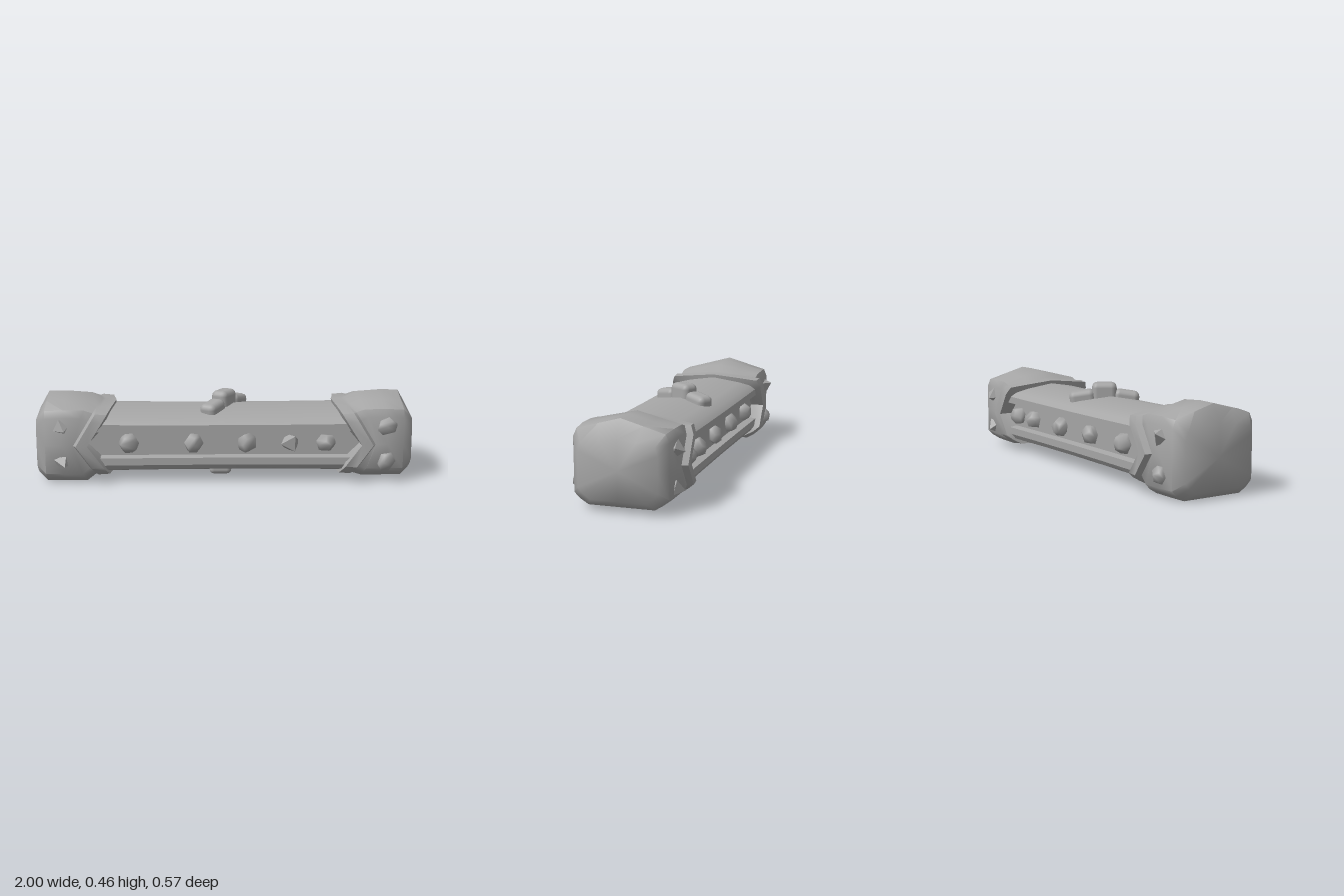
import * as THREE from 'three';
import { toCreasedNormals } from 'three/addons/utils/BufferGeometryUtils.js';
import { RoundedBoxGeometry } from 'three/addons/geometries/RoundedBoxGeometry.js';

const grey = new THREE.MeshStandardMaterial({ color: 0xa6a6a6 });
grey.name = 'stone grey';

// Skins a list of closed rings, ordered by rising x, and closes both ends
function loft(rings, crease) {
  const n = rings[0].length, pos = [];
  const tri = (...pts) => pts.forEach(p => pos.push(...p));
  for (let i = 0; i < rings.length - 1; i++) {
    for (let j = 0; j < n; j++) {
      const k = (j + 1) % n;
      tri(rings[i][j], rings[i][k], rings[i + 1][k]);
      tri(rings[i][j], rings[i + 1][k], rings[i + 1][j]);
    }
  }
  const middle = r => [0, 1, 2].map(a => r.reduce((s, p) => s + p[a], 0) / n);
  const first = rings[0], last = rings[rings.length - 1];
  const c0 = middle(first), c1 = middle(last);
  for (let j = 0; j < n; j++) {
    const k = (j + 1) % n;
    tri(c0, first[k], first[j]);
    tri(c1, last[j], last[k]);
  }
  const geo = new THREE.BufferGeometry();
  geo.setAttribute('position', new THREE.Float32BufferAttribute(pos, 3));
  return toCreasedNormals(geo, crease);
}

// Mirrors a half profile (from top centre to bottom centre) to the -z side
function fullRing(half) {
  const back = half.slice(1, -1).reverse().map(([x, y, z]) => [x, y, -z]);
  return [...half, ...back];
}

// Body section [z, y]: pitched top and a sunken channel in the side
const bodyProfile = [
  [0, 0.388], [0.15, 0.362], [0.215, 0.345], [0.243, 0.32], [0.243, 0.283], [0.2, 0.277],
  [0.2, 0.15], [0.243, 0.143], [0.243, 0.105], [0.225, 0.08], [0.18, 0.064], [0, 0.062],
];

// End cap: chevron-edged collar, side groove, then a swelling block
function capRings(side, base) {
  // [x, notch, peak, shoulder, half width, bottom]
  const sections = [
    [0.59, 1, 0.375, 0.34, 0.215, 0.075],
    [0.585, 1, 0.41, 0.38, 0.275, 0.043],
    [0.645, 1, 0.412, 0.385, 0.28, 0.04],
    [0.66, 1, 0.418, 0.385, 0.25, 0.04],
    [0.72, 0.6, 0.45, 0.4, 0.252, base],
    [0.85, 0.1, 0.46, 0.402, 0.249, base],
    [0.95, 0, 0.458, 0.395, 0.24, base],
    [1, 0, 0.368, 0.34, 0.2, base + 0.04],
  ];
  const rings = sections.map(([x, notch, t, s, w, b]) => {
    const p = (push, y, z) => [side * (x + notch * push), y, z];
    return fullRing([
      p(0, t, 0), p(0.02, (t + s) / 2, w * 0.47), p(0.035, s, w * 0.93),
      p(0.06, s - 0.04, w), p(0.14, 0.213, w), p(0.055, b + 0.055, w),
      p(0.04, b + 0.027, w * 0.88), p(0.03, b, w * 0.7), p(0, b, 0),
    ]);
  });
  return side > 0 ? rings : rings.reverse();
}

export function createModel() {
  const model = new THREE.Group();
  const add = (name, geo, position = [0, 0, 0], rotation = [0, 0, 0], scale = [1, 1, 1]) => {
    const mesh = new THREE.Mesh(geo, grey);
    mesh.name = name;
    mesh.position.set(...position);
    mesh.rotation.set(...rotation);
    mesh.scale.set(...scale);
    model.add(mesh);
  };

  // Beam, slightly waisted in the middle
  const bodyRings = [-0.8, -0.6, -0.35, 0, 0.35, 0.6, 0.8].map(x => {
    const grow = 1 + 0.04 * Math.min(1, x * x * 2);
    return fullRing(bodyProfile.map(([z, y]) => [x, 0.225 + (y - 0.225) * grow, z]));
  });
  add('beam', loft(bodyRings, 0.6));

  // End caps
  add('leftCap', loft(capRings(1, 0.026), 0.9));
  add('rightCap', loft(capRings(-1, 0.002), 0.9));

  // Studs along the front and back channels
  const stud = toCreasedNormals(new THREE.DodecahedronGeometry(0.056), 1.2);
  const spike = new THREE.OctahedronGeometry(0.062);
  [-0.51, -0.165, 0.12, 0.35, 0.54].forEach((x, i) => {
    add('frontStud', i === 3 ? spike : stud, [x, 0.215, 0.21], [0.3 * i, 0.4, 0.9 * i], [1, 1, 0.9]);
  });
  [-0.5, -0.19, 0.12, 0.42, 0.6].forEach((x, i) => {
    add('backStud', stud, [x, 0.215, -0.21], [0.3 * i, 0.4, 0.9 * i], [1, 1, 0.9]);
  });

  // Studs and spikes on the caps
  for (const [y, turn] of [[0.31, 0.3], [0.12, 1.1]]) {
    add('leftCapFrontStud', stud, [0.86, y, 0.235], [0.2, 0, turn], [1.05, 0.95, 0.9]);
    add('leftCapBackSpike', spike, [0.86, y, -0.235], [-0.3, 0.3, turn], [0.85, 0.85, 0.9]);
    add('rightCapFrontSpike', spike, [-0.86, y, 0.235], [0.3, 0.3, turn], [0.8, 0.8, 0.9]);
    add('rightCapBackStud', y > 0.2 ? spike : stud, [-0.86, y, -0.237], [0.3, 0.3, turn], [0.9, 0.9, 0.9]);
  }

  // Diagonal crest of three overlapping lumps on top
  const angle = 1.03;
  for (const [along, y, length, height] of [
    [-0.12, 0.375, 0.14, 0.085], [0, 0.405, 0.135, 0.112], [0.12, 0.375, 0.14, 0.085],
  ]) {
    add('crestLump', new RoundedBoxGeometry(length, height, 0.095, 2, 0.03),
      [along * Math.cos(angle), y, -along * Math.sin(angle) - 0.005], [0, angle, -along * 1.2]);
  }

  // Lumps underneath
  add('lowerLump', new RoundedBoxGeometry(0.12, 0.08, 0.085, 2, 0.025), [-0.02, 0.041, 0.035]);
  add('smallLowerLump', new RoundedBoxGeometry(0.11, 0.06, 0.05, 2, 0.022), [-0.02, 0.056, -0.045]);

  return model;
}
